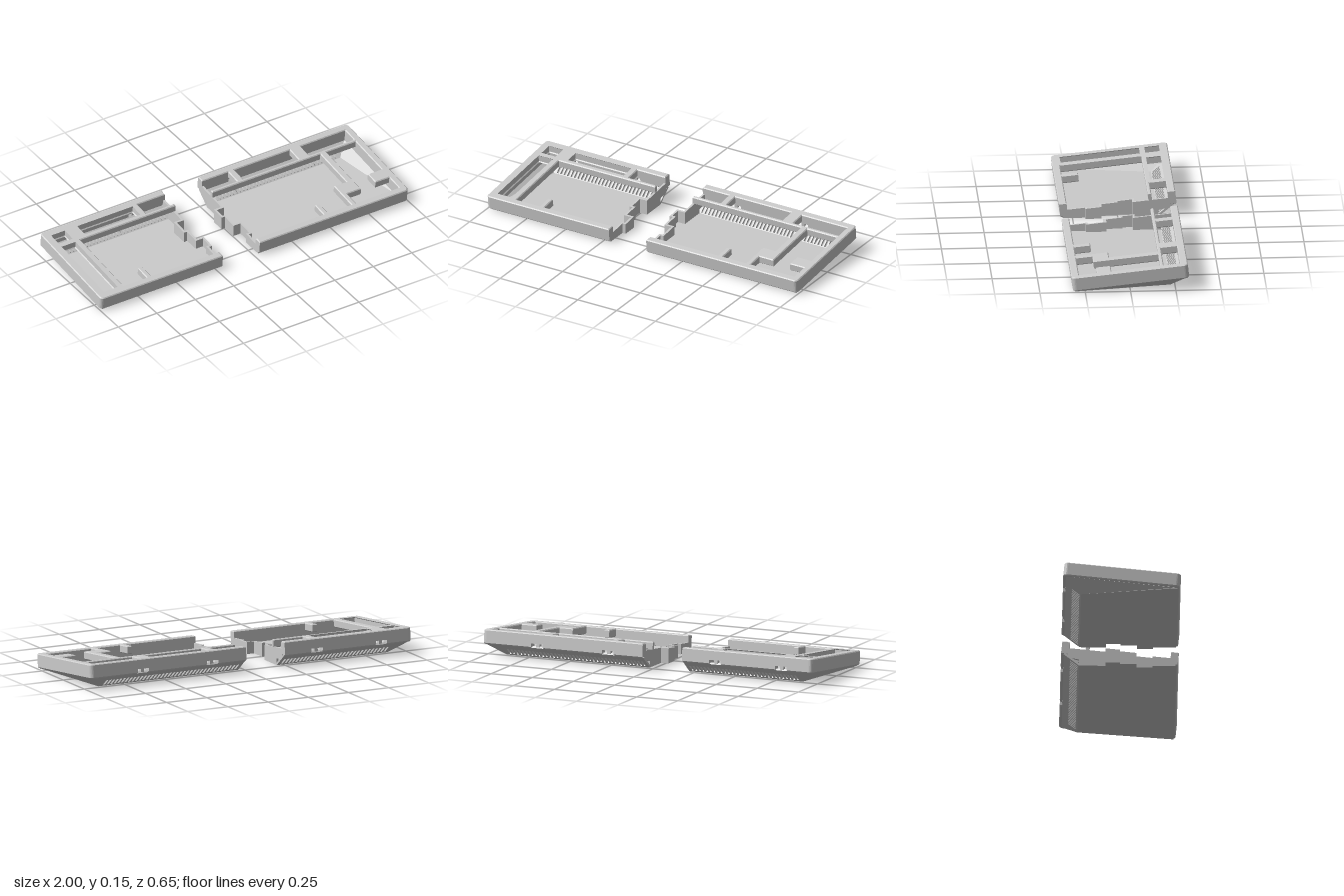
import * as THREE from 'three';
import { ConvexGeometry } from 'three/addons/geometries/ConvexGeometry.js';

const TILT = 0.103;      // slope of the case from front to back
const TOP = 0.117;       // height of the top surface at z = 0
const D = 0.3225;        // half depth of the case
const BACK = -0.225;     // where the flat floor turns up into the vented slope
const RISE = 0.069, RUN = 0.085;
const WALL = 0.012;

const mat = new THREE.MeshStandardMaterial({ color: 0xcccccc, flatShading: true, side: THREE.DoubleSide });

function add(parent, name, geometry) {
  const mesh = new THREE.Mesh(geometry, mat);
  mesh.name = name;
  parent.add(mesh);
  return mesh;
}

// Plan points are [x, z]; z is flipped because the shape is laid flat afterwards
const toVec = (pts) => pts.map(([x, z]) => new THREE.Vector2(x, -z));
const rect = (x0, x1, z0, z1) => [[x0, z0], [x1, z0], [x1, z1], [x0, z1]];

// Flat plate between two heights, with an optional chamfer on its edges
function plate(outline, y0, y1, holes = [], bevel = 0) {
  const shape = new THREE.Shape(toVec(outline));
  for (const h of holes) shape.holes.push(new THREE.Path(toVec(h)));
  const g = new THREE.ExtrudeGeometry(shape, {
    depth: y1 - y0 - 2 * bevel, bevelEnabled: bevel > 0,
    bevelSize: bevel, bevelThickness: bevel, bevelOffset: -bevel, bevelSegments: 1,
  });
  return g.rotateX(-Math.PI / 2).translate(0, y0 + bevel, 0);
}

// The two rounded outer corners, front then back
function outerCorners(s, r = 0.022, n = 5) {
  const front = [];
  for (let i = 0; i <= n; i++) {
    const a = (i / n) * Math.PI / 2;
    front.push([s * (1 - r + r * Math.sin(a)), D - r + r * Math.cos(a)]);
  }
  return [...front, ...front.map(([x, z]) => [x, -z]).reverse()];
}

// Upright wall whose top follows the tilt and whose foot follows the floor
function tiltedWall(x0, x1, z0, z1) {
  const g = new THREE.BoxGeometry(x1 - x0, 1, z1 - z0);
  g.translate((x0 + x1) / 2, 0, (z0 + z1) / 2);
  const p = g.attributes.position;
  for (let i = 0; i < p.count; i++) {
    const z = p.getZ(i);
    const foot = Math.max(0, (BACK - z) * RISE / RUN);
    p.setY(i, p.getY(i) > 0 ? TOP - 0.04 - z * TILT : foot);
  }
  g.computeVertexNormals();
  return g;
}

function buildHalf({ name, s, cut, inner, wells, steps, notches }) {
  const half = new THREE.Group();
  half.name = name;

  // Tilted slab: origin lies on its top surface
  const slab = new THREE.Group();
  slab.name = 'tiltedFrame';
  slab.position.set(0, TOP, 0.004);
  slab.rotation.x = TILT;
  half.add(slab);

  const corners = outerCorners(s);
  add(slab, 'topFrame', plate([[cut, D], ...corners, [cut, -D], ...inner], -0.045, 0, wells, 0.005));
  const rim = (end) => [[cut, D], ...corners, [end, -D], [end, -0.28], [s * 0.96, -0.28], [s * 0.96, 0.28], [cut, 0.28]];
  add(slab, 'outerWall', plate(rim(cut), -0.055, -0.008));

  // Lower wall, interrupted at the back by clip notches
  const w = 0.035;
  const [nearNotch, farNotch] = notches;
  add(slab, 'lowerWall', plate(rim(farNotch + s * w), -0.08, -0.048, [], 0.006));
  for (const [a, b] of [[cut, nearNotch - s * w], [nearNotch + s * w, farNotch - s * w]]) {
    add(slab, 'lowerBackWall', plate(rect(Math.min(a, b), Math.max(a, b), -D, -0.28), -0.08, -0.048, [], 0.006));
  }
  for (const x of notches) {
    add(slab, 'clipTooth', plate(rect(x - 0.01, x + 0.01, -0.31, -0.285), -0.075, -0.05));
  }

  // Floor with a stepped joining edge
  const floorEdge = [];
  steps.forEach(([x, z0, z1], i) => {
    floorEdge.push([x, i === 0 ? BACK : z0], [x, i === steps.length - 1 ? 0.305 : z1]);
  });
  add(half, 'floor', plate([...floorEdge, [s * 0.985, 0.305], [s * 0.9, BACK]], 0, 0.014));

  // Low wall along the stepped edge, with short returns at every step
  steps.forEach(([x, z0, z1], i) => {
    add(half, 'joinWall', tiltedWall(Math.min(x, x + s * WALL), Math.max(x, x + s * WALL), z0, z1));
    if (i === 0) {
      add(half, 'joinWall', tiltedWall(Math.min(x, x + s * WALL), Math.max(x, x + s * WALL), BACK, z1));
      return;
    }
    const px = steps[i - 1][0];
    const prevOut = px * s < x * s;
    const lo = Math.min(px, x, px + s * WALL, x + s * WALL);
    const hi = Math.max(px, x, px + s * WALL, x + s * WALL);
    add(half, 'joinStep', tiltedWall(lo, hi, prevOut ? z0 - WALL : z0, prevOut ? z0 : z0 + WALL));
  });

  // Sloping back panel with a row of vent slots
  const len = Math.hypot(RISE, RUN);
  const slope = new THREE.Shape([[cut, 0], [s * 0.9, 0], [s * 0.985, len], [cut, len]].map(([x, y]) => new THREE.Vector2(x, y)));
  for (let d = Math.abs(cut) + 0.02; d < 0.88; d += 0.022) {
    const x = s * d;
    slope.holes.push(new THREE.Path([[x, 0.012], [x + s * 0.012, 0.012], [x + s * 0.012, 0.066], [x, 0.066]]
      .map(([a, b]) => new THREE.Vector2(a, b))));
  }
  const back = new THREE.ExtrudeGeometry(slope, { depth: 0.012, bevelEnabled: false });
  back.applyMatrix4(new THREE.Matrix4().makeBasis(
    new THREE.Vector3(1, 0, 0),
    new THREE.Vector3(0, RISE / len, -RUN / len),
    new THREE.Vector3(0, RUN / len, RISE / len)).setPosition(0, 0, BACK));
  add(half, 'ventedBackSlope', back);

  // Slanted triangular panel under the outer end
  const tri = [[0.9, 0, BACK], [0.985, RISE, BACK - RUN], [0.985, 0.003, 0.305]];
  const pts = [];
  for (const [x, y, z] of tri) {
    pts.push(new THREE.Vector3(s * x, y, z), new THREE.Vector3(s * (x - 0.01), y + 0.01, z));
  }
  add(half, 'endSlope', new ConvexGeometry(pts));
  return half;
}

export function createModel() {
  const model = new THREE.Group();
  model.name = 'splitCase';

  model.add(buildHalf({
    name: 'leftHalf', s: 1, cut: 0.03, notches: [0.24, 0.67],
    inner: [[0.03, -0.28], [0.2, -0.28], [0.2, -0.19], [0.03, -0.19], [0.03, -0.17], [0.73, -0.17], [0.73, 0.1],
      [0.65, 0.1], [0.65, 0.28], [0.5, 0.28], [0.5, 0.19], [0.47, 0.19], [0.47, 0.28], [0.03, 0.28]],
    wells: [rect(0.24, 0.6, -0.28, -0.19), rect(0.67, 0.96, -0.28, -0.19),
      [[0.77, -0.17], [0.96, -0.17], [0.96, 0.1], [0.87, 0.1], [0.87, 0.18], [0.96, 0.18], [0.96, 0.28],
        [0.68, 0.28], [0.68, 0.19], [0.77, 0.19]]],
    steps: [[0.03, -0.29, -0.08], [-0.015, -0.08, 0], [0.005, 0, 0.09], [0.05, 0.09, 0.18], [0.03, 0.18, 0.29]],
  }));

  model.add(buildHalf({
    name: 'rightHalf', s: -1, cut: -0.21, notches: [-0.41, -0.81],
    inner: [[-0.21, -0.28], [-0.39, -0.28], [-0.39, -0.19], [-0.21, -0.19], [-0.21, -0.17], [-0.83, -0.17],
      [-0.83, 0.28], [-0.68, 0.28], [-0.68, 0.19], [-0.65, 0.19], [-0.65, 0.28], [-0.21, 0.28]],
    wells: [rect(-0.96, -0.86, -0.17, 0.28), rect(-0.96, -0.86, -0.28, -0.19), rect(-0.79, -0.42, -0.28, -0.19)],
    steps: [[-0.21, -0.29, -0.08], [-0.255, -0.08, 0], [-0.235, 0, 0.09], [-0.19, 0.09, 0.18], [-0.21, 0.18, 0.29]],
  }));
  return model;
}
